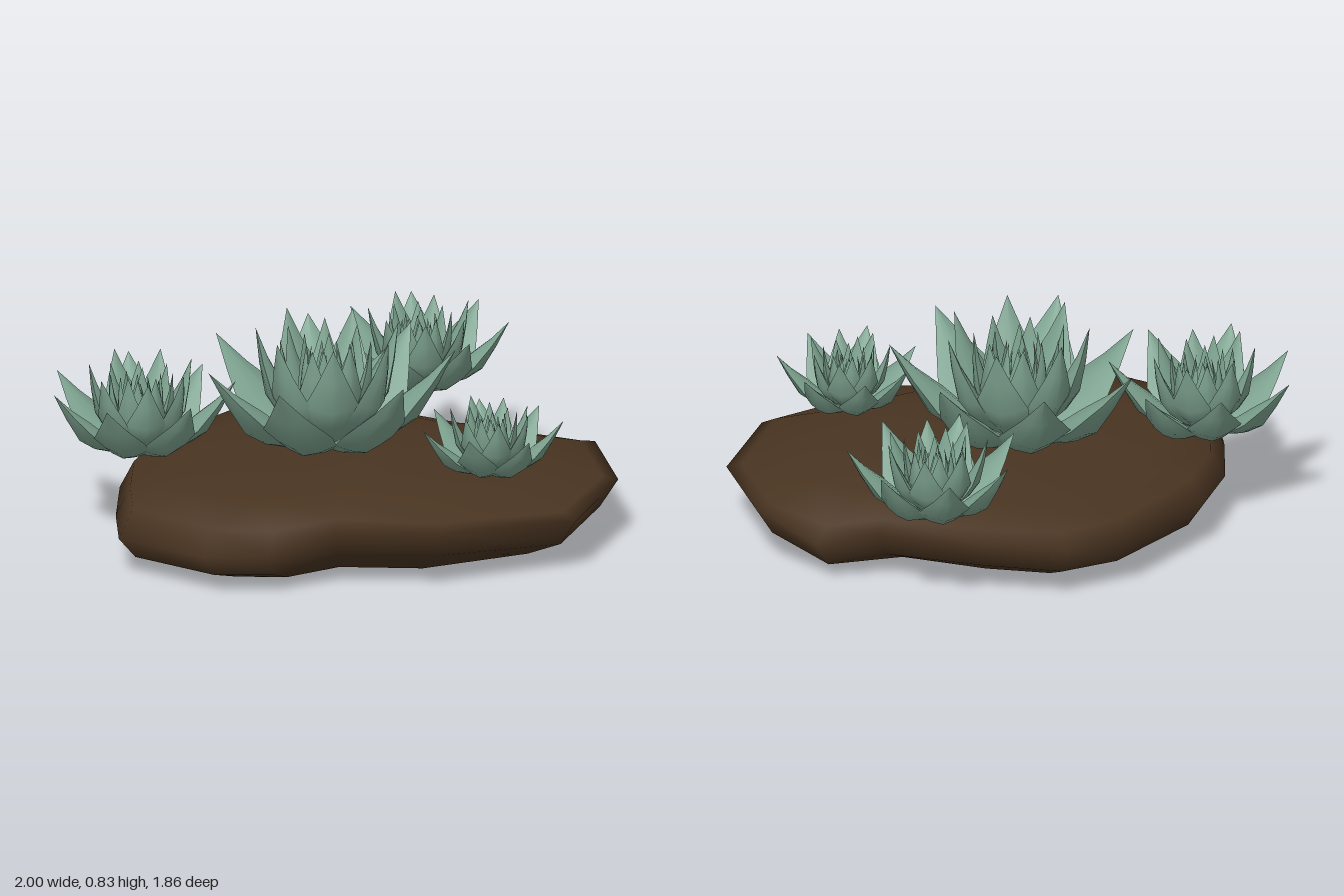
import * as THREE from 'three';
import { mergeGeometries } from 'three/addons/utils/BufferGeometryUtils.js';

const leafGreen = new THREE.MeshStandardMaterial({ name: 'leafGreen', color: 0x7da28f });
const soilBrown = new THREE.MeshStandardMaterial({ name: 'soilBrown', color: 0x493421 });

const rad = THREE.MathUtils.degToRad;

// Small seeded generator returning values in -1..1
function seeded(seed) {
  let s = seed * 7919 + 13;
  return () => {
    s = (s * 16807) % 2147483647;
    return (s / 2147483647) * 2 - 1;
  };
}

// Stations along a leaf: [position, width]
const STATIONS = [[0, 0.25], [0.17, 0.52], [0.36, 0.88], [0.53, 1], [0.76, 0.5], [1, 0]];

// One side of a leaf, bulging along +z (outer) or -z (inner)
function leafSide(length, halfWidth, bow, bulge) {
  const g = new THREE.PlaneGeometry(2, 5, 4, 5);
  const p = g.attributes.position;
  for (let i = 0; i < p.count; i++) {
    const u = p.getX(i) * Math.sign(bulge);
    const [t, w] = STATIONS[Math.round(p.getY(i) + 2.5)];
    const z = bow * Math.sin(Math.PI * t ** 0.85) + bulge * w * (1 - Math.abs(u) ** 1.5);
    p.setXYZ(i, u * w * halfWidth, t * length, z);
  }
  g.computeVertexNormals();
  return g;
}

// Plump leaf with a keeled outer side and a gently ridged inner side
function leaf(length, halfWidth, bow, elevation, angle) {
  const g = mergeGeometries([
    leafSide(length, halfWidth, bow, halfWidth * 0.45),
    leafSide(length, halfWidth, bow, -halfWidth * 0.3),
  ]);
  g.rotateX(rad(90 - elevation));
  g.translate(0, 0, 0.012);
  g.rotateY(rad(90 - angle));
  return g;
}

// Leaf rings from the outside in
const RINGS = [
  { name: 'outerLeaves', count: 7, length: 0.605, width: 0.143, bow: 0.062, elevation: 38, turn: 0 },
  { name: 'secondLeaves', count: 7, length: 0.53, width: 0.105, bow: 0.055, elevation: 60, turn: 26 },
  { name: 'middleLeaves', count: 7, length: 0.47, width: 0.075, bow: 0.045, elevation: 70, turn: 3 },
  { name: 'innerLeaves', count: 6, length: 0.43, width: 0.055, bow: 0.04, elevation: 78, turn: 20 },
  { name: 'heartLeaves', count: 5, length: 0.4, width: 0.04, bow: 0.035, elevation: 84, turn: 8 },
  { name: 'centreLeaves', count: 3, length: 0.36, width: 0.035, bow: 0.02, elevation: 90, turn: 40 },
];

function rosette(name, x, y, z, scale, seed) {
  const group = new THREE.Group();
  group.name = name;
  const rnd = seeded(seed);
  for (const r of RINGS) {
    const leaves = [];
    for (let i = 0; i < r.count; i++) {
      const angle = r.turn + (i * 360) / r.count + rnd() * 3;
      leaves.push(leaf(r.length * (1 + rnd() * 0.03), r.width, r.bow, r.elevation + rnd() * 2, angle));
    }
    const mesh = new THREE.Mesh(mergeGeometries(leaves), leafGreen);
    mesh.name = r.name;
    group.add(mesh);
  }
  group.position.set(x, y, z);
  group.scale.setScalar(scale);
  return group;
}

// Mound outline seen from above: [x, z, rim lift]
const OUTLINE = [
  [0.72, -0.06, -0.02], [0.875, 0.12, -0.08], [0.905, 0.4, 0], [0.67, 0.75, 0], [0.25, 0.93, 0],
  [-0.27, 0.715, 0.05], [-0.53, 0.395, 0.05], [-0.78, 0.28, 0], [-0.94, 0.09, 0], [-1, -0.3, 0],
  [-0.83, -0.48, 0], [-0.6, -0.68, 0], [-0.33, -0.8, 0], [0.15, -0.825, 0], [0.39, -0.73, 0], [0.56, -0.46, 0],
];

// Mound levels from top to bottom: [scale, height, tilt along x, tilt along z, share of rim lift]
const LEVELS = [
  [0, 0.348, 0, 0, 0], [0.45, 0.336, 0, 0, 0], [0.72, 0.309, 0, 0, 0], [0.94, 0.262, 0, -0.025, 0.4],
  [1, 0.2, 0.045, 0, 1], [0.93, 0.1, 0.03, 0, 0.8], [0.78, 0.042, 0.015, 0, 0.2],
  [0.4, 0.02, 0, 0, 0], [0, 0, 0, 0, 0],
];

function mound() {
  const n = OUTLINE.length;
  const pos = [];
  const index = [];
  LEVELS.forEach(([s, h, tiltX, tiltZ, share], k) => {
    OUTLINE.forEach(([x, z, lift], j) => {
      pos.push(-0.03 + (x + 0.03) * s, h + tiltX * x + tiltZ * z + share * lift, 0.03 + (z - 0.03) * s);
      if (k === LEVELS.length - 1) return;
      const a = k * n + j, b = k * n + ((j + 1) % n);
      if (s > 0) index.push(a, b, a + n);
      if (LEVELS[k + 1][0] > 0) index.push(b, b + n, a + n);
    });
  });
  const g = new THREE.BufferGeometry();
  g.setAttribute('position', new THREE.Float32BufferAttribute(pos, 3));
  g.setIndex(index);
  g.computeVertexNormals();
  const mesh = new THREE.Mesh(g, soilBrown);
  mesh.name = 'soilMound';
  return mesh;
}

export function createModel() {
  const model = new THREE.Group();
  model.name = 'succulentMound';
  model.add(
    mound(),
    rosette('largeRosette', -0.065, 0.355, -0.09, 1, 1),
    rosette('backRosette', -0.595, 0.345, -0.575, 0.74, 2),
    rosette('sideRosette', 0.665, 0.355, -0.3, 0.69, 3),
    rosette('frontRosette', 0.145, 0.35, 0.58, 0.56, 4),
  );
  return model;
}
